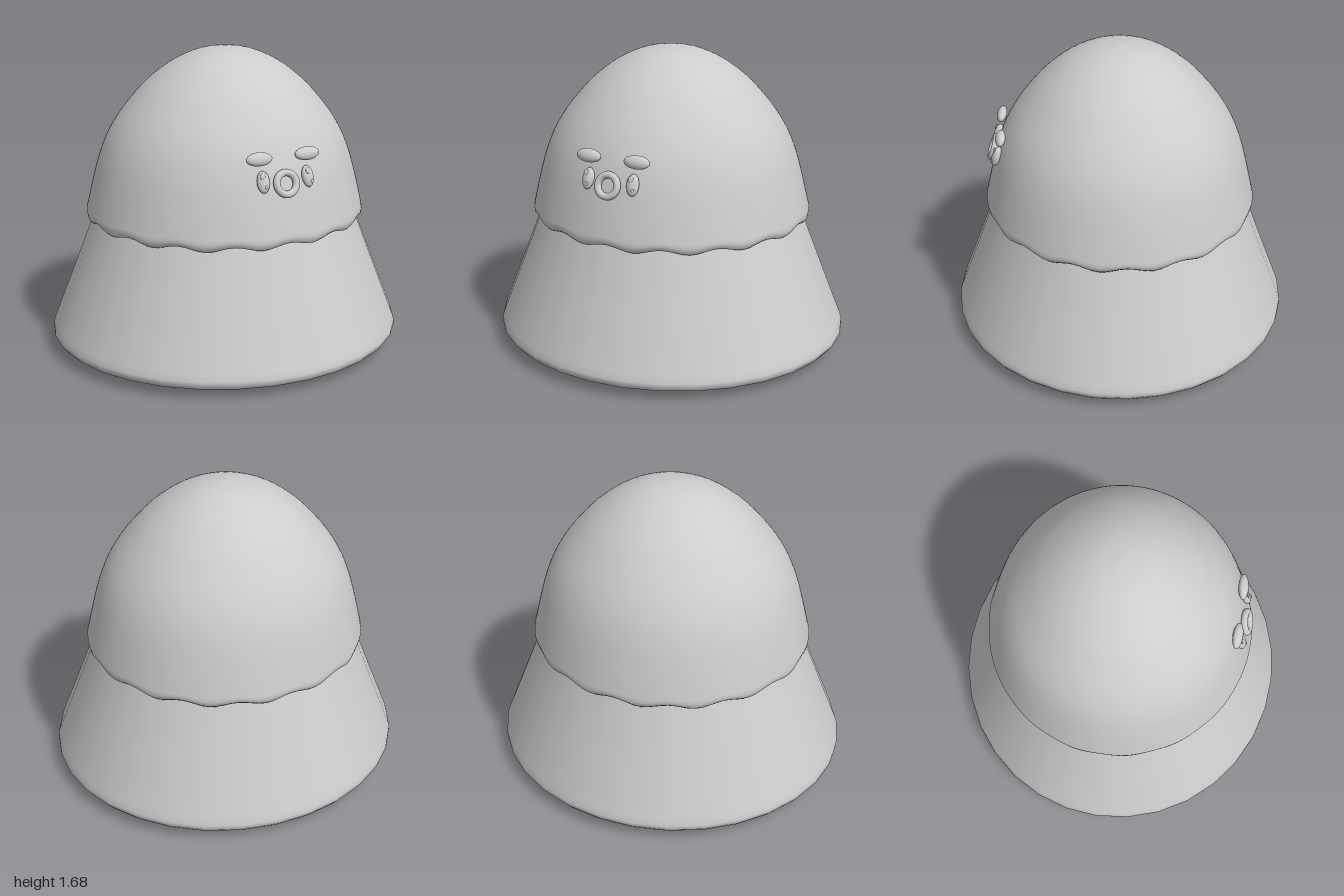
import * as THREE from 'three';

const lightGrey = new THREE.MeshStandardMaterial({ color: 0xcccccc });
lightGrey.name = 'lightGrey';

const points = (list) => list.map(([x, y]) => new THREE.Vector2(x, y));

function addMesh(parent, name, geometry, position = [0, 0, 0], tilt = 0, yaw = 0) {
  const mesh = new THREE.Mesh(geometry, lightGrey);
  mesh.name = name;
  mesh.position.set(...position);
  mesh.rotation.set(tilt, yaw, 0, 'YXZ');
  parent.add(mesh);
  return mesh;
}

const ellipsoid = (rx, ry, rz) => new THREE.SphereGeometry(1, 28, 18).scale(rx, ry, rz);

// Flared body with a rounded hem and a slightly bulging underside
function bodyGeometry() {
  const profile = points([
    [0, 0.003], [0.4, 0.006], [0.7, 0.016], [0.86, 0.028], [0.94, 0.042], [0.98, 0.06],
    [0.998, 0.083], [0.997, 0.105], [0.985, 0.14], [0.87, 0.43], [0.745, 0.75], [0.7, 0.87], [0, 0.9],
  ]);
  return new THREE.LatheGeometry(profile, 32).scale(1, 1, 0.952);
}

// Domed cap with a rolled, scalloped lower edge
function capGeometry() {
  const lip = points([[0.66, 0.79], [0.7, 0.765], [0.725, 0.75], [0.745, 0.744], [0.768, 0.745],
    [0.782, 0.758], [0.786, 0.78]]);
  const dome = new THREE.SplineCurve(points([
    [0.786, 0.78], [0.763, 0.88], [0.733, 1.0], [0.703, 1.1], [0.662, 1.2], [0.603, 1.3],
    [0.525, 1.4], [0.43, 1.5], [0.3, 1.597], [0.15, 1.663], [0, 1.684],
  ])).getPoints(40).slice(1);
  dome[dome.length - 1].x = 0;
  const geometry = new THREE.LatheGeometry([...lip, ...dome], 128);
  const p = geometry.attributes.position;
  for (let i = 0; i < p.count; i++) {
    const angle = Math.atan2(p.getX(i), p.getZ(i));
    const fade = 1 - THREE.MathUtils.smoothstep(p.getY(i), 0.75, 0.84);
    p.setY(i, p.getY(i) + 0.012 * Math.cos(16 * angle) * fade);
  }
  return geometry.scale(1, 1, 0.961);
}

export function createModel() {
  const model = new THREE.Group();
  model.name = 'domedFigure';
  addMesh(model, 'body', bodyGeometry());
  addMesh(model, 'cap', capGeometry());

  // Face features lean back with the dome
  const face = new THREE.Group();
  face.name = 'face';
  model.add(face);
  for (const side of [-1, 1]) {
    const label = side > 0 ? 'left' : 'right';
    addMesh(face, label + 'Brow', ellipsoid(0.074, 0.036, 0.027), [side * 0.142, 1.203, 0.655], -0.4, side * 0.05);
    const eye = addMesh(face, label + 'Eye', ellipsoid(0.034, 0.058, 0.024), [side * 0.132, 1.087, 0.682], -0.33, side * 0.15);
    // Small glints on the eye
    addMesh(eye, label + 'EyeUpperGlint', ellipsoid(0.014, 0.017, 0.006), [-0.007, 0.028, 0.02]);
    addMesh(eye, label + 'EyeLowerGlint', ellipsoid(0.008, 0.01, 0.005), [0.008, -0.03, 0.02]);
  }
  addMesh(face, 'mouth', new THREE.TorusGeometry(0.057, 0.019, 16, 40), [-0.006, 1.07, 0.703], -0.33);
  return model;
}
